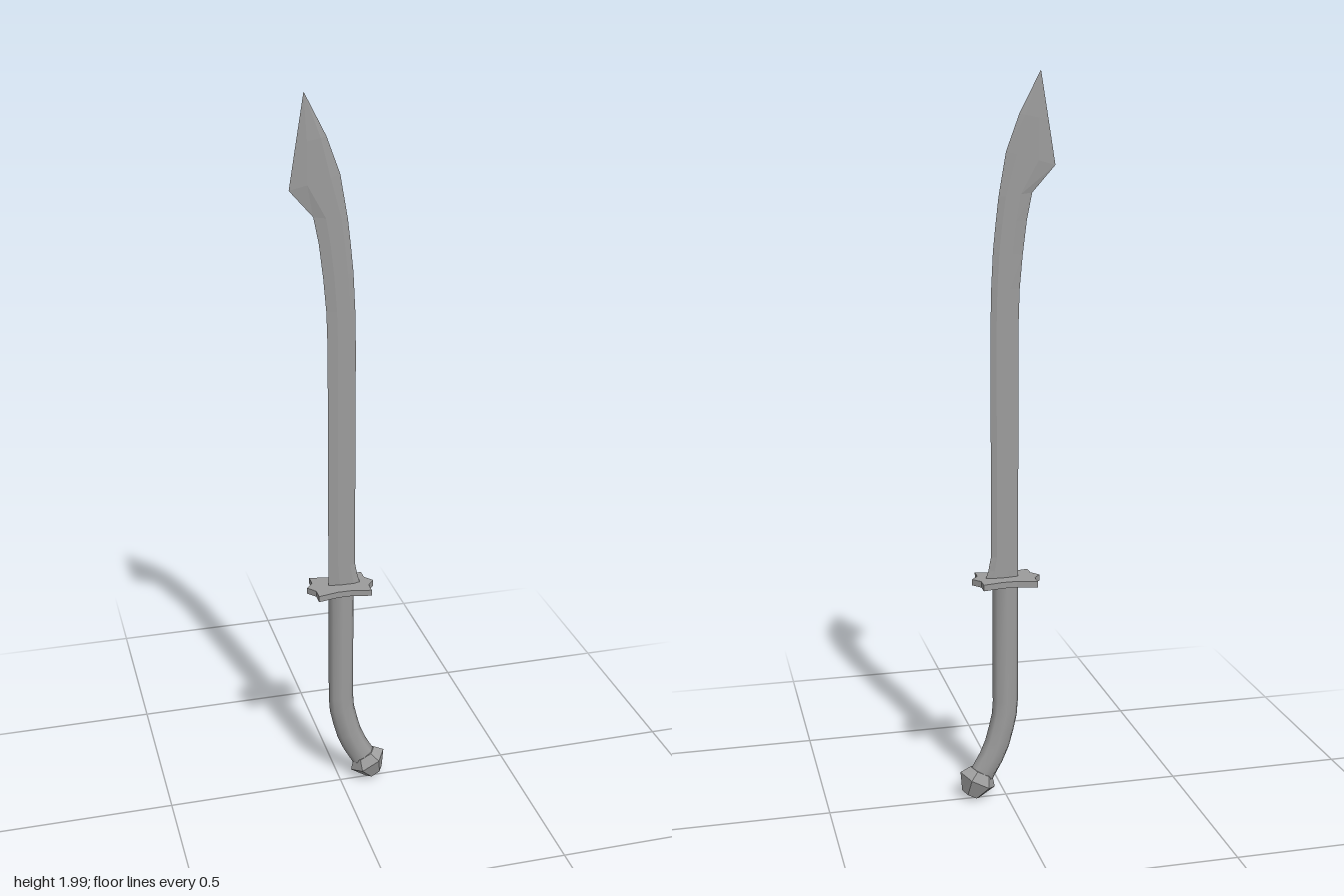
import * as THREE from 'three';
import { toCreasedNormals } from 'three/addons/utils/BufferGeometryUtils.js';

const material = new THREE.MeshStandardMaterial({ color: 0x9c9c9c });

// Skins rings of points, listed bottom to top, each running from +x round through -z
function loft(rings) {
  const n = rings[0].length, index = [];
  for (let r = 0; r < rings.length - 1; r++) {
    for (let i = 0; i < n; i++) {
      const a = r * n + i, b = r * n + (i + 1) % n;
      index.push(a, b, b + n, a, b + n, a + n);
    }
  }
  const top = (rings.length - 1) * n;
  for (let i = 1; i < n - 1; i++) {
    index.push(0, i + 1, i, top, top + i, top + i + 1);
  }
  const geometry = new THREE.BufferGeometry();
  geometry.setAttribute('position', new THREE.Float32BufferAttribute(rings.flat(2), 3));
  geometry.setIndex(index);
  const flat = geometry.toNonIndexed();
  flat.computeVertexNormals();
  return flat;
}

// Oval ring of points centred on (x, y) and leaning in the xy plane
function ovalRing(sides, x, y, lean, rx, rz) {
  return Array.from({ length: sides }, (_, k) => {
    const a = k / sides * Math.PI * 2, w = rx * Math.cos(a);
    return [x + w * Math.cos(lean), y + w * Math.sin(lean), -rz * Math.sin(a)];
  });
}

function part(name, geometry) {
  const mesh = new THREE.Mesh(geometry, material);
  mesh.name = name;
  return mesh;
}

// Curved blade: each station pairs the cutting edge with the spine, bevelled both ways
function makeBlade() {
  const stations = [ // edge x, edge y, spine x, spine y, half thickness
    [-0.034, 0.645, 0.058, 0.645, 0.006],
    [-0.034, 0.67, 0.05, 0.67, 0.006],
    [-0.034, 0.71, 0.042, 0.71, 0.006],
    [-0.034, 1.34, 0.042, 1.34, 0.006],
    [-0.037, 1.44, 0.04, 1.44, 0.006],
    [-0.045, 1.53, 0.035, 1.54, 0.006],
    [-0.056, 1.62, 0.028, 1.61, 0.006],
    [-0.07, 1.69, 0.02, 1.68, 0.006],
    [-0.132, 1.76, 0, 1.795, 0.006],
    [-0.113, 1.875, -0.035, 1.89, 0.005],
    [-0.092, 2.0, -0.092, 2.0, 0],
  ];
  return part('blade', loft(stations.map(([ex, ey, sx, sy, t]) => {
    const at = (u, z) => [ex + (sx - ex) * u, ey + (sy - ey) * u, z];
    return [at(1, 0), at(0.8, -t), at(0.35, -t), at(0, 0), at(0.35, t), at(0.8, t)];
  })));
}

// Smooth oval grip: straight above, bending sideways to the pommel
function makeGrip() {
  const path = [[0.071, 0.075], [0.043, 0.125], [0.026, 0.165], [0.014, 0.21], [0.005, 0.25], [0.002, 0.29], [0.002, 0.64]];
  const rings = path.map(([x, y], i) => {
    const p = path[Math.max(i - 1, 0)], q = path[Math.min(i + 1, path.length - 1)];
    return ovalRing(8, x, y, Math.atan2(p[0] - q[0], q[1] - p[1]), 0.036, 0.022);
  });
  return part('grip', toCreasedNormals(loft(rings), 1.25));
}

// Flat guard with flared corners and pointed ends, mirrored front to back
function makeGuard() {
  const half = [[0.095, 0], [0.075, 0.025], [0.075, 0.058], [0.019, 0.046]];
  const upper = [...half, ...half.slice(1).reverse().map(([x, y]) => [-x, y]), [-0.095, 0]];
  const lower = upper.slice(1, -1).reverse().map(([x, y]) => [x, -y]);
  const shape = new THREE.Shape([...upper, ...lower].map(([x, y]) => new THREE.Vector2(x, y)));
  const geometry = new THREE.ExtrudeGeometry(shape, { depth: 0.017, bevelEnabled: false });
  geometry.rotateX(-Math.PI / 2).translate(0, 0.634, 0);
  return part('guard', geometry);
}

// Six-sided pommel, widest in the middle with a flat end, leaning with the grip
function makePommel() {
  return part('pommel', loft([
    ovalRing(6, 0.102, 0.019, 0.5, 0.028, 0.023),
    ovalRing(6, 0.082, 0.061, 0.5, 0.056, 0.044),
    ovalRing(6, 0.071, 0.085, 0.5, 0.036, 0.026),
  ]));
}

export function createModel() {
  const sword = new THREE.Group();
  sword.name = 'sword';
  sword.add(makeBlade(), makeGuard(), makeGrip(), makePommel());
  sword.position.z = -0.002;
  return sword;
}
